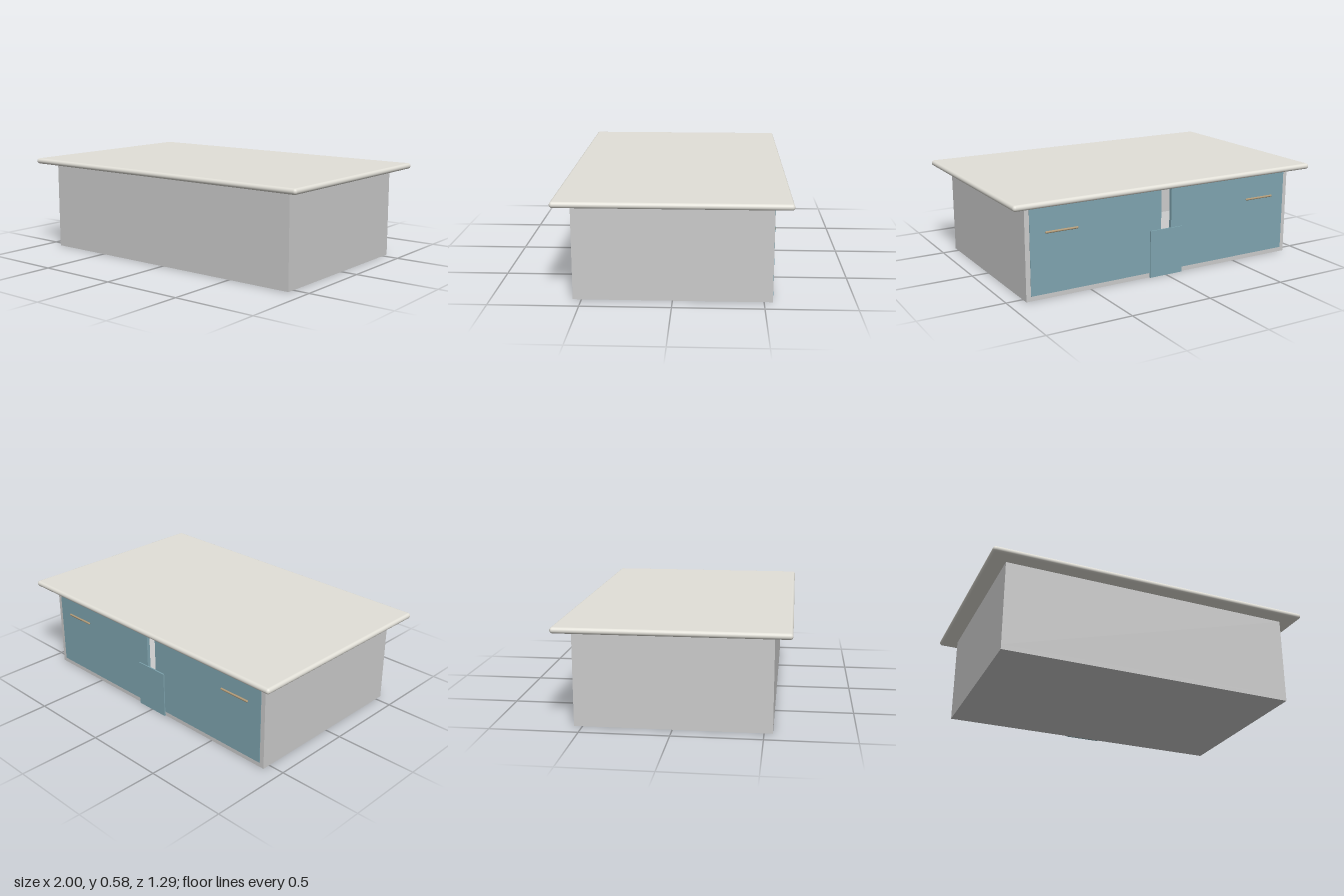
import * as THREE from 'three';
import { RoundedBoxGeometry } from 'three/addons/geometries/RoundedBoxGeometry.js';

const grey = new THREE.MeshStandardMaterial({ color: 0xcccccc });
const stone = new THREE.MeshStandardMaterial({ color: 0xe2e0d8 });
const blue = new THREE.MeshStandardMaterial({ color: 0x7fa5b0 });
const brass = new THREE.MeshStandardMaterial({ color: 0xb09a78 });

export function createModel() {
  const model = new THREE.Group();

  const add = (name, geometry, material, x, y, z) => {
    const mesh = new THREE.Mesh(geometry, material);
    mesh.name = name;
    mesh.position.set(x, y, z);
    model.add(mesh);
    return mesh;
  };

  // Box given by its lower and upper corners
  const slab = (name, material, [x0, y0, z0], [x1, y1, z1]) =>
    add(name, new THREE.BoxGeometry(x1 - x0, y1 - y0, z1 - z0), material,
      (x0 + x1) / 2, (y0 + y1) / 2, (z0 + z1) / 2);

  const W = 0.9, D = 0.548, H = 0.543, T = 0.028;

  // Counter top with fully rounded edges
  add('counterTop', new RoundedBoxGeometry(2, 0.034, 1.286, 5, 0.0168), stone, 0, H + 0.017, 0);

  // Cabinet shell, open at the back and closed above by the counter top
  slab('floorPanel', grey, [-W, 0, -D], [W, T, D]);
  slab('frontPanel', grey, [-W, T, D - T], [W, H, D]);

  for (const [side, s] of [['left', 1], ['right', -1]]) {
    const span = (a, b) => [Math.min(s * a, s * b), Math.max(s * a, s * b)];

    const [w0, w1] = span(W - T, W);
    slab(side + 'SidePanel', grey, [w0, T, -D], [w1, H, D - T]);

    // Doors set into the back opening, with a gap between them
    const [d0, d1] = span(0.035, W - T);
    slab(side + 'Door', blue, [d0, T, -0.551], [d1, 0.52, -0.53]);

    // Slim bar handle on each door
    const handle = add(side + 'Handle', new THREE.CapsuleGeometry(0.0065, 0.19, 6, 16), brass,
      s * 0.68, 0.381, -0.555);
    handle.rotation.z = Math.PI / 2;
  }

  // Raised panel covering the lower part of the door gap
  slab('centrePanel', blue, [-0.11, 0, -0.558], [0.11, 0.285, -0.5485]);

  return model;
}
